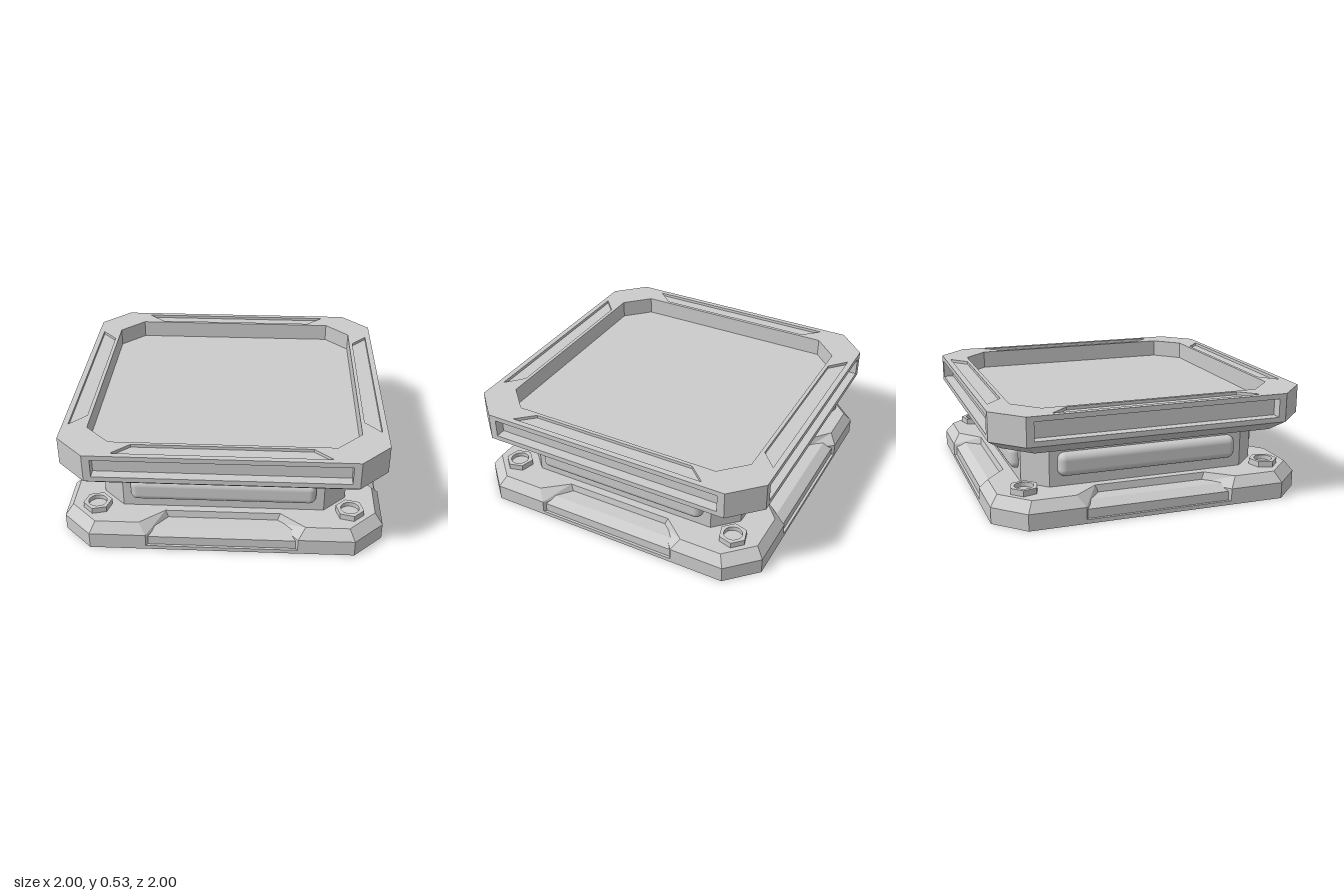
import * as THREE from 'three';
import { RoundedBoxGeometry } from 'three/addons/geometries/RoundedBoxGeometry.js';

const material = new THREE.MeshStandardMaterial({ color: 0xcccccc, flatShading: true });
const smooth = new THREE.MeshStandardMaterial({ color: 0xcccccc });

const turn = ([x, y], k) => {
  for (let i = 0; i < k; i++) [x, y] = [-y, x];
  return [x, y];
};

// Square with cut corners: a = distance to a side, e = half side length.
// An optional notch in every side is n wide (half) outside, m inside and d deep.
function outline(a, e, notch) {
  const side = [[e, a]];
  if (notch) {
    const [n, m, d] = notch;
    side.push([n, a], [m, a - d], [-m, a - d], [-n, a]);
  }
  side.push([-e, a]);
  return [0, 1, 2, 3].flatMap(k => side.map(p => turn(p, k)));
}

const vectors = points => points.map(p => new THREE.Vector2(...p));

// Closed solid through stacked outlines, given as [height, outline]
function loft(levels) {
  const v = [];
  const put = (level, i) => {
    const p = level[1][i % level[1].length];
    v.push(p[0], level[0], -p[1]);
  };
  for (let l = 0; l < levels.length - 1; l++) {
    const lo = levels[l], hi = levels[l + 1];
    for (let i = 0; i < lo[1].length; i++) {
      put(lo, i); put(lo, i + 1); put(hi, i + 1);
      put(lo, i); put(hi, i + 1); put(hi, i);
    }
  }
  const bottom = levels[0], top = levels[levels.length - 1];
  for (const [i, j, k] of THREE.ShapeUtils.triangulateShape(vectors(bottom[1]), [])) {
    put(bottom, i); put(bottom, k); put(bottom, j);
  }
  for (const [i, j, k] of THREE.ShapeUtils.triangulateShape(vectors(top[1]), [])) {
    put(top, i); put(top, j); put(top, k);
  }
  const g = new THREE.BufferGeometry();
  g.setAttribute('position', new THREE.Float32BufferAttribute(v, 3));
  g.computeVertexNormals();
  return g;
}

// Flat plate with openings between two heights
function plate(y0, y1, points, holes = []) {
  const shape = new THREE.Shape(vectors(points));
  shape.holes = holes.map(h => new THREE.Path(vectors(h)));
  const g = new THREE.ExtrudeGeometry(shape, { depth: y1 - y0, bevelEnabled: false });
  return g.rotateX(-Math.PI / 2).translate(0, y0, 0);
}

function polygon(r, sides) {
  return Array.from({ length: sides }, (_, i) => {
    const t = i / sides * Math.PI * 2;
    return [r * Math.cos(t), r * Math.sin(t)];
  });
}

export function createModel() {
  const model = new THREE.Group();
  model.name = 'platform';
  const add = (name, geometry, mat = material) => {
    const mesh = new THREE.Mesh(geometry, mat);
    mesh.name = name;
    model.add(mesh);
    return mesh;
  };

  // Base: thin lip, notched body with a chamfered top, lower floor in the notches
  const full = outline(0.778, 0.636);
  add('baseLip', plate(0, 0.02, full));
  const baseOutline = outline(0.778, 0.636, [0.365, 0.26, 0.13]);
  add('baseBody', loft([
    [0.02, baseOutline],
    [0.08, baseOutline],
    [0.13, outline(0.74, 0.61, [0.4, 0.28, 0.1])],
  ]));
  add('notchFloor', loft([
    [0.02, outline(0.765, 0.62)],
    [0.065, outline(0.765, 0.62)],
    [0.095, outline(0.72, 0.58)],
  ]));

  // Core column
  add('core', plate(0.09, 0.35, outline(0.6, 0.49)));

  // Rounded pads on the core, and hollow hex bolts at the base corners
  for (let k = 0; k < 4; k++) {
    const angle = k * Math.PI / 2;
    const pad = add('sidePad', new RoundedBoxGeometry(0.9, 0.115, 0.12, 4, 0.035), smooth);
    pad.position.set(0.58 * Math.sin(angle), 0.238, 0.58 * Math.cos(angle));
    pad.rotation.y = angle;

    const bolt = new THREE.Group();
    bolt.name = 'cornerBolt';
    const ring = new THREE.Mesh(plate(0, 0.03, polygon(0.07, 6), [polygon(0.045, 16)]), material);
    ring.name = 'boltRing';
    const socket = new THREE.Mesh(new THREE.CylinderGeometry(0.046, 0.046, 0.008, 16), material);
    socket.name = 'boltSocket';
    socket.position.y = 0.004;
    bolt.add(ring, socket);
    const corner = angle + Math.PI / 4;
    bolt.position.set(0.87 * Math.sin(corner), 0.129, 0.87 * Math.cos(corner));
    bolt.rotation.y = corner;
    model.add(bolt);
  }

  // Tray: flared underside, walls with a long slot in each side, grooved rim
  const well = outline(0.654, 0.534);
  const groove = [[0.51, 0.75], [-0.51, 0.75], [-0.424, 0.672], [0.424, 0.672]];
  const grooves = [0, 1, 2, 3].map(k => groove.map(p => turn(p, k)));
  add('trayUnderside', loft([[0.34, outline(0.712, 0.585)], [0.39, full]]));
  add('trayLowerWall', plate(0.39, 0.415, full));
  add('traySlottedWall', plate(0.415, 0.505, outline(0.778, 0.636, [0.6, 0.6, 0.05]), [well]));
  add('trayUpperWall', plate(0.505, 0.515, full, [well]));
  add('trayRim', plate(0.515, 0.53, full, [well, ...grooves]));
  add('trayFloor', plate(0.4, 0.44, well));

  // Corners point along the axes
  model.rotation.y = Math.PI / 4;
  const root = new THREE.Group();
  root.name = 'dock';
  root.add(model);
  return root;
}
